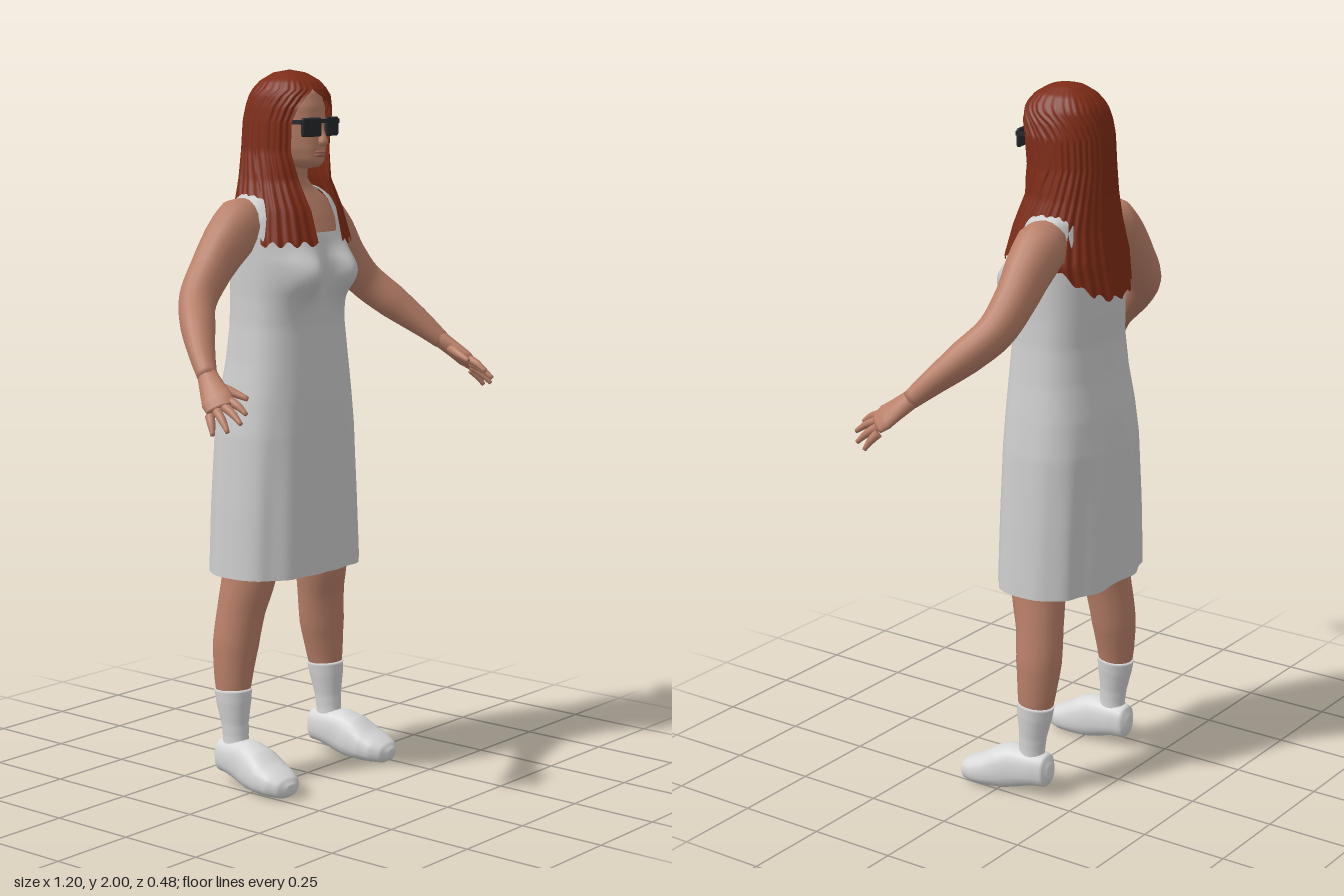
import * as THREE from 'three';
import { mergeVertices } from 'three/addons/utils/BufferGeometryUtils.js';
import { RoundedBoxGeometry } from 'three/addons/geometries/RoundedBoxGeometry.js';

const mat = (name, color, side = THREE.FrontSide) => {
  const m = new THREE.MeshStandardMaterial({ color, side });
  m.name = name;
  return m;
};

// Smooth surface from a grid of points: u runs around, v runs along
function sheet(nu, nv, fn) {
  const pos = [], idx = [];
  for (let j = 0; j <= nv; j++) for (let i = 0; i <= nu; i++) pos.push(...fn(i / nu, j / nv));
  for (let j = 0; j < nv; j++) for (let i = 0; i < nu; i++) {
    const a = j * (nu + 1) + i, b = a + 1, d = a + nu + 1, c = d + 1;
    idx.push(a, d, b, b, d, c);
  }
  let g = new THREE.BufferGeometry();
  g.setAttribute('position', new THREE.Float32BufferAttribute(pos, 3));
  g.setIndex(idx);
  g = mergeVertices(g, 1e-5);
  g.computeVertexNormals();
  return g;
}

// Interpolate rows [y, ...values], listed from top to bottom
function at(rows, y) {
  let i = 0;
  while (i < rows.length - 2 && y < rows[i + 1][0]) i++;
  const a = rows[i], b = rows[i + 1];
  const t = THREE.MathUtils.clamp((a[0] - y) / (a[0] - b[0]), 0, 1);
  return a.map((v, k) => v + (b[k] - v) * t);
}

const pw = (v, e) => Math.sign(v) * Math.abs(v) ** e;

// Point on a horizontal rounded section [y, halfWidth, zFront, zBack]
function ringPoint([y, hw, zf, zb], th, e = 0.8) {
  return [hw * pw(Math.sin(th), e), y, (zf + zb) / 2 + (zf - zb) / 2 * pw(Math.cos(th), e)];
}

// Tapered limb through rows [x, y, z, r1, r2], capped at both ends
function limb(rows, ref = [0, 0, 1], { seg = 16, steps = 5, e = 1 } = {}) {
  const curve = new THREE.CatmullRomCurve3(rows.map(r => new THREE.Vector3(r[0], r[1], r[2])));
  const n = (rows.length - 1) * steps, R = new THREE.Vector3(...ref);
  return sheet(seg, n + 2, (u, v) => {
    const k = Math.round(v * (n + 2)) - 1, s = THREE.MathUtils.clamp(k / n, 0, 1);
    const f = s * (rows.length - 1), i = Math.min(Math.floor(f), rows.length - 2);
    const cap = k < 0 || k > n ? 0 : 1;
    const rad = j => cap * THREE.MathUtils.lerp(rows[i][j] ?? rows[i][3], rows[i + 1][j] ?? rows[i + 1][3], f - i);
    const t = curve.getTangent(s), p = curve.getPoint(s);
    const e2 = R.clone().addScaledVector(t, -R.dot(t)).normalize();
    const e1 = e2.clone().cross(t);
    const th = u * Math.PI * 2;
    p.addScaledVector(e1, rad(3) * pw(Math.sin(th), e)).addScaledVector(e2, rad(4) * pw(Math.cos(th), e));
    return p.toArray();
  });
}

// Sections: [y, halfWidth, zFront, zBack]
const TORSO = [
  [1.685, 0.085, -0.045, -0.135], [1.67, 0.13, -0.02, -0.16], [1.645, 0.163, 0, -0.178], [1.6, 0.172, 0.03, -0.188],
  [1.55, 0.174, 0.05, -0.197], [1.48, 0.174, 0.065, -0.204], [1.38, 0.174, 0.055, -0.203],
  [1.3, 0.178, 0.053, -0.201], [1.2, 0.19, 0.06, -0.21], [1.1, 0.206, 0.066, -0.226],
  [1, 0.22, 0.07, -0.235], [0.8, 0.234, 0.074, -0.239], [0.6, 0.245, 0.077, -0.24]];
const NECK = [
  [1.79, 0.05, -0.01, -0.12], [1.74, 0.05, -0.02, -0.125], [1.7, 0.058, -0.025, -0.135], [1.675, 0.09, -0.02, -0.145],
  [1.64, 0.145, 0, -0.165], [1.6, 0.16, 0.022, -0.178], [1.55, 0.165, 0.044, -0.185], [1.5, 0.165, 0.05, -0.19]];
const HEAD = [
  [1.985, 0.005, -0.06, -0.07], [1.97, 0.045, -0.01, -0.12], [1.94, 0.07, 0.025, -0.15], [1.9, 0.079, 0.039, -0.165],
  [1.86, 0.079, 0.042, -0.17], [1.82, 0.074, 0.045, -0.16], [1.785, 0.064, 0.048, -0.13],
  [1.755, 0.05, 0.047, -0.1], [1.738, 0.034, 0.04, -0.07], [1.73, 0.005, 0, -0.02]];
// Hair adds the opening angles on the left and right of the face
const HAIR = [
  [2, 0.001, -0.065, -0.066, -0.2, 0.2], [1.992, 0.04, -0.02, -0.11, -0.2, 0.2], [1.97, 0.074, 0.018, -0.145, -0.2, 0.2],
  [1.948, 0.09, 0.037, -0.165, -0.2, 0.2], [1.93, 0.1, 0.045, -0.175, 0.02, 0.45], [1.9, 0.107, 0.048, -0.185, 0.45, 0.68],
  [1.86, 0.112, 0.042, -0.192, 0.72, 0.78], [1.78, 0.116, 0.032, -0.195, 0.72, 0.72], [1.7, 0.13, 0.032, -0.196, 0.45, 0.45],
  [1.62, 0.155, 0.062, -0.202, 0.3, 0.3], [1.53, 0.177, 0.085, -0.22, 0.24, 0.24], [1.42, 0.16, 0.085, -0.24, 0.24, 0.24]];

function dressPoint(u, v) {
  const th = u * Math.PI * 2, a = Math.abs(th > Math.PI ? th - Math.PI * 2 : th);
  // Scooped neckline in front, shallow one behind
  const neck = THREE.MathUtils.smoothstep(a, 0.3, 0.75), nape = THREE.MathUtils.smoothstep(a, 2.3, 2.8);
  const top = 1.557 + 0.128 * neck - 0.055 * nape;
  const y = top + (0.603 - top) * v;
  const p = ringPoint(at(TORSO, y), th);
  // Bust and soft skirt folds
  if (Math.cos(th) > 0) {
    const bump = Math.exp(-(((Math.abs(p[0]) - 0.085) / 0.055) ** 2) - ((y - 1.445) / 0.062) ** 2);
    p[2] += 0.055 * bump;
  }
  const fold = 0.006 * THREE.MathUtils.smoothstep(1.2 - y, 0, 0.5);
  p[2] += fold * Math.cos(th * 11) * Math.cos(th);
  if (a < 0.6) p[2] -= fold * 2 * Math.exp(-((p[0] / 0.04) ** 2));
  return p;
}

function hairPoint(u, v) {
  const t = Math.abs(2 * u - 1);
  // Long behind, split over the shoulders, locks in front
  let low = 1.61;
  if (t > 0.62) low = 1.53;
  else if (t < 0.4) low = 1.43 + 0.1 * (t / 0.4) ** 2;
  low += 0.008 * Math.sin(u * 120);
  const y = 2 - (2 - low) * v ** 1.4;
  const row = at(HAIR, y), th = row[4] + u * (Math.PI * 2 - row[4] - row[5]);
  const p = ringPoint(row, th, 0.85);
  const strand = 1 + 0.014 * Math.min(1, v * 4) * (Math.sin(u * 190) + 0.6 * Math.sin(u * 83));
  return [p[0] * strand, p[1], -0.07 + (p[2] + 0.07) * strand];
}

export function createModel() {
  const skin = mat('skin', 0xb98069), lip = mat('lips', 0xa3655a);
  const hairMat = mat('hair', 0x7d2b15, THREE.DoubleSide), cloth = mat('dress', 0xcccccc, THREE.DoubleSide);
  const sockMat = mat('socks', 0xd6d6d6), shoeMat = mat('shoes', 0xd9d9d9), dark = mat('sunglasses', 0x26282b);
  const model = new THREE.Group();
  const add = (name, geo, material, parent = model) => {
    const m = new THREE.Mesh(geo, material);
    m.name = name;
    parent.add(m);
    return m;
  };
  const loft = (rows, nv, e) => sheet(40, nv, (u, v) => {
    const y0 = rows[0][0], y1 = rows[rows.length - 1][0];
    return ringPoint(at(rows, y0 + (y1 - y0) * v), u * Math.PI * 2, e);
  });

  add('dress', sheet(96, 90, dressPoint), cloth);
  add('neckAndChest', loft(NECK, 30, 0.8), skin);
  add('head', loft(HEAD, 40, 0.92), skin);
  add('nose', limb([[0, 1.86, 0.04, 0.007], [0, 1.825, 0.051, 0.01], [0, 1.805, 0.055, 0.014], [0, 1.796, 0.05, 0.008]]), skin);
  for (const [y, h] of [[1.777, 0.005], [1.769, 0.006]]) {
    const m = add('lip', new THREE.SphereGeometry(1, 16, 10), lip);
    m.scale.set(0.023, h, 0.008);
    m.position.set(0, y, 0.046);
  }
  add('hair', sheet(200, 60, hairPoint), hairMat);

  // Sunglasses
  const glasses = new THREE.Group();
  glasses.name = 'sunglasses';
  model.add(glasses);
  add('bridge', new THREE.BoxGeometry(0.03, 0.01, 0.008).translate(0, 1.862, 0.055), dark, glasses);

  for (const s of [1, -1]) {
    const side = s > 0 ? 'left' : 'right';
    const mir = rows => rows.map(r => [r[0] * s, ...r.slice(1)]);
    const lens = add(side + 'Lens', new RoundedBoxGeometry(0.068, 0.052, 0.012, 3, 0.006), dark, glasses);
    lens.position.set(0.043 * s, 1.846, 0.049);
    lens.rotation.y = 0.2 * s;
    const temple = add(side + 'Temple', new THREE.BoxGeometry(0.005, 0.012, 0.1), dark, glasses);
    temple.position.set(0.081 * s, 1.86, -0.005);

    // Arm and hand
    add(side + 'Arm', limb(mir([
      [0.12, 1.6, -0.1, 0.055, 0.055], [0.17, 1.58, -0.1, 0.078, 0.07], [0.225, 1.535, -0.1, 0.073, 0.064],
      [0.29, 1.465, -0.1, 0.062, 0.055], [0.36, 1.39, -0.085, 0.055, 0.05], [0.42, 1.325, -0.03, 0.051, 0.046],
      [0.475, 1.26, 0.035, 0.038, 0.034], [0.51, 1.21, 0.085, 0.026, 0.026]])), skin);
    const hand = new THREE.Group();
    hand.name = side + 'Hand';
    model.add(hand);
    add('palm', limb(mir([[0.503, 1.22, 0.075, 0.024, 0.026], [0.523, 1.19, 0.11, 0.022, 0.034],
      [0.541, 1.16, 0.145, 0.019, 0.043], [0.553, 1.14, 0.165, 0.012, 0.036]]), [0.65 * s, -0.55, -0.5]), skin, hand);
    const fingers = [[0.525, 1.16, 0.175, 0.525, 1.13, 0.232], [0.542, 1.148, 0.17, 0.552, 1.108, 0.237],
      [0.557, 1.135, 0.159, 0.578, 1.088, 0.214], [0.571, 1.123, 0.147, 0.594, 1.078, 0.177]];
    for (const [x, y, z, X, Y, Z] of fingers)
      add('finger', limb(mir([[x, y, z, 0.013], [(x + X) / 2, (y + Y) / 2 + 0.004, (z + Z) / 2, 0.011],
        [X, Y, Z, 0.006]]), [s, 0, 0], { seg: 10 }), skin, hand);
    add('thumb', limb(mir([[0.515, 1.195, 0.105, 0.015], [0.497, 1.18, 0.15, 0.013], [0.484, 1.163, 0.2, 0.007]]),
      [s, 0, 0], { seg: 10 }), skin, hand);

    // Leg, sock and shoe
    add(side + 'Leg', limb(mir([
      [0.125, 0.95, -0.085, 0.09, 0.1], [0.14, 0.75, -0.08, 0.085, 0.09], [0.158, 0.6, -0.082, 0.073, 0.08],
      [0.175, 0.5, -0.097, 0.068, 0.068], [0.19, 0.4, -0.105, 0.065, 0.065], [0.202, 0.3, -0.104, 0.05, 0.055],
      [0.206, 0.22, -0.1, 0.038, 0.043]])), skin);
    add(side + 'Sock', limb(mir([
      [0.204, 0.278, -0.103, 0.05, 0.056], [0.205, 0.24, -0.1, 0.046, 0.052], [0.206, 0.18, -0.095, 0.036, 0.041],
      [0.206, 0.14, -0.092, 0.033, 0.039], [0.206, 0.09, -0.09, 0.035, 0.042]])), sockMat);
    const shoe = limb(mir([
      [0.204, 0.08, -0.156, 0.015, 0.02], [0.204, 0.08, -0.142, 0.036, 0.047], [0.206, 0.082, -0.1, 0.046, 0.053],
      [0.21, 0.075, -0.04, 0.052, 0.063], [0.214, 0.064, 0, 0.06, 0.061], [0.219, 0.05, 0.045, 0.065, 0.048],
      [0.222, 0.041, 0.085, 0.06, 0.038], [0.224, 0.034, 0.115, 0.044, 0.029], [0.225, 0.032, 0.131, 0.018, 0.014]]),
    [0, 1, 0], { seg: 24, e: 0.8 });
    const p = shoe.attributes.position;
    for (let i = 0; i < p.count; i++) p.setY(i, Math.max(p.getY(i), 0));
    shoe.computeVertexNormals();
    add(side + 'Shoe', shoe, shoeMat);
  }
  return model;
}
